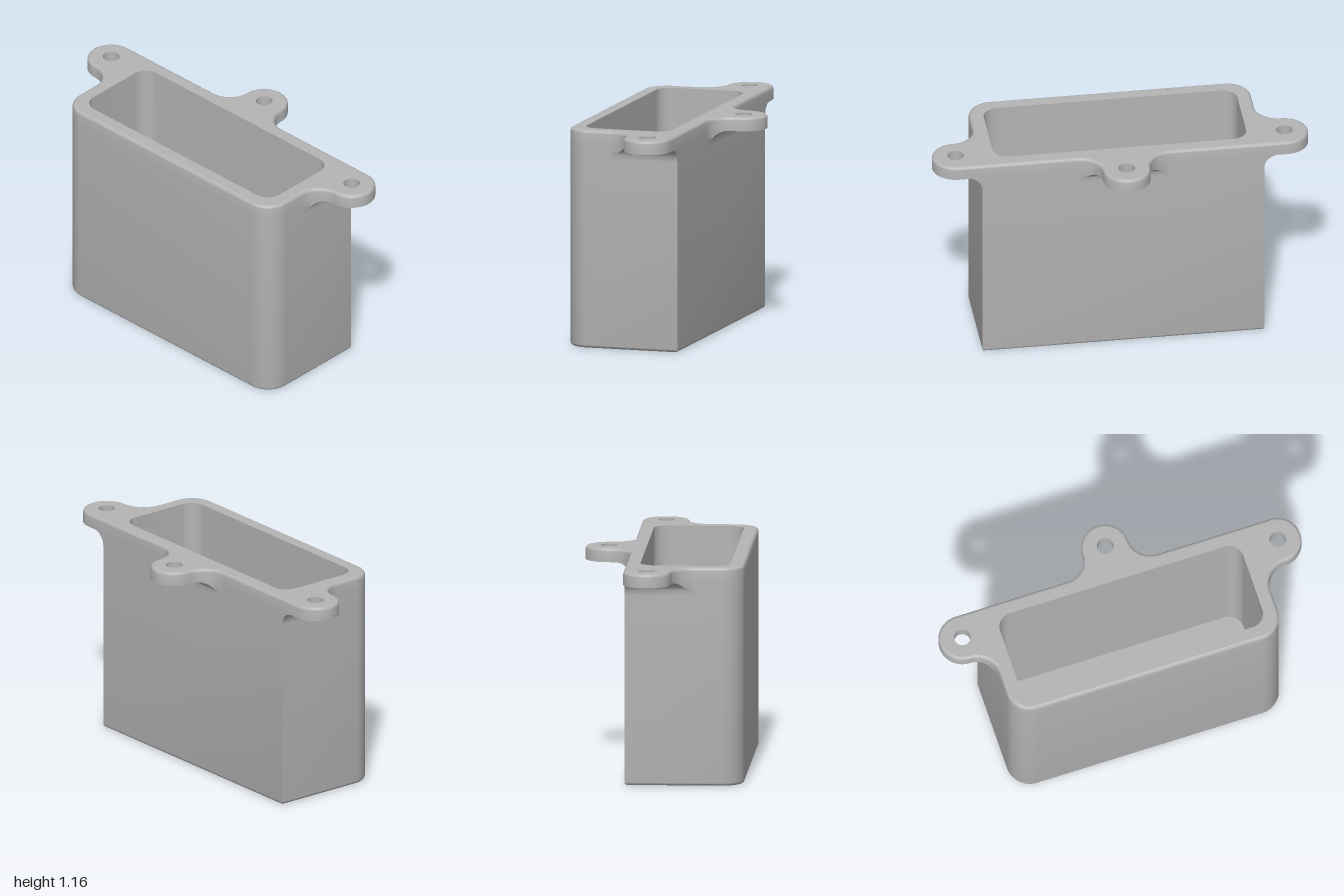
import * as THREE from 'three';
import { toCreasedNormals } from 'three/addons/utils/BufferGeometryUtils.js';

const PI = Math.PI;
const TOP = 1.1625, FLANGE = 1.09, FLOOR = 0.075;   // key heights
const R = 0.125, FILLET = 0.075, EDGE = 0.016;      // tab, gusset and edge radii

// Plan outline as clean points, counter-clockwise from above
function points(shape) {
  const p = shape.getPoints(10).filter((v, i, a) => i === 0 || v.distanceTo(a[i - 1]) > 1e-5);
  if (p[0].distanceTo(p[p.length - 1]) < 1e-5) p.pop();
  return p;
}

function circle(x, z, r) {
  return points(new THREE.Shape().absarc(x, z, r, 0, 2 * PI, false));
}

// Mitred inset of a closed outline
function inset(pts, d) {
  const n = pts.length;
  return pts.map((p, i) => {
    const a = p.clone().sub(pts[(i + n - 1) % n]).normalize();
    const b = pts[(i + 1) % n].clone().sub(p).normalize();
    const k = d / (1 + a.dot(b));
    return new THREE.Vector2(p.x - (a.y + b.y) * k, p.y + (a.x + b.x) * k);
  });
}

function build(pos, idx) {
  const g = new THREE.BufferGeometry();
  g.setAttribute('position', new THREE.Float32BufferAttribute(pos, 3));
  g.setIndex(idx);
  return toCreasedNormals(g, 0.6);
}

// Vertical wall through rings of [inset, height]; inward walls face the hollow
function wall(pts, rings, inward = false) {
  const pos = [], idx = [], n = pts.length;
  for (const [d, y] of rings) for (const p of inset(pts, d)) pos.push(p.x, y, -p.y);
  for (let r = 0; r < rings.length - 1; r++) {
    for (let i = 0; i < n; i++) {
      const a = r * n + i, b = r * n + (i + 1) % n, c = b + n, d = a + n;
      idx.push(...(inward ? [a, c, b, a, d, c] : [a, b, c, a, c, d]));
    }
  }
  return build(pos, idx);
}

// Flat face with holes, facing up or down
function cap(pts, holes, y, up) {
  const s = new THREE.Shape(pts);
  s.holes = holes.map(h => new THREE.Path(h));
  return new THREE.ShapeGeometry(s).rotateX(up ? -PI / 2 : PI / 2).translate(0, y, 0);
}

// Concave fillet under a tab, flaring into the wall on the chosen sides
function gusset(flareLeft, flareRight) {
  const pos = [], idx = [], n = 14;
  for (let i = 0; i <= n; i++) {
    const t = i / n * PI / 2;
    const d = FILLET * (1 - Math.cos(t)), y = FLANGE - FILLET + FILLET * Math.sin(t);
    const flare = 2 * R - Math.sqrt(Math.max(0, R * R - (R - d) ** 2));
    const l = flareLeft ? -flare : -R, r = flareRight ? flare : R;
    pos.push(l, y, d, r, y, d, l, FLANGE, d, r, FLANGE, d);
    if (i === n) break;
    const a = i * 4, b = a + 4;
    idx.push(a, a + 1, b + 1, a, b + 1, b);
    idx.push(a, b, b + 2, a, b + 2, a + 2);
    idx.push(a + 1, a + 3, b + 3, a + 1, b + 3, b + 1);
  }
  return build(pos, idx);
}

export function createModel() {
  const grey = new THREE.MeshStandardMaterial({ color: 0xb4b4b4 });
  grey.name = 'plain grey';
  const model = new THREE.Group();
  model.name = 'mountingBox';
  const add = (name, geometry) => {
    const m = new THREE.Mesh(geometry, grey);
    m.name = name;
    model.add(m);
    return m;
  };

  // Body plan: two rounded corners on one long side
  const body = new THREE.Shape();
  body.moveTo(0.1875, -0.75);
  body.lineTo(0.1875, 0.75);
  body.absarc(-0.3125, 0.625, R, PI / 2, PI, false);
  body.absarc(-0.3125, -0.625, R, PI, 1.5 * PI, false);
  const bodyPts = points(body);

  // Flange plan: body plan plus three round tabs with blended roots
  const flange = new THREE.Shape();
  flange.moveTo(0.1875, -0.25);
  flange.absarc(0.3125, -0.25, R, PI, PI / 2, true);
  flange.absarc(0.3125, 0, R, -PI / 2, PI / 2, false);
  flange.absarc(0.3125, 0.25, R, -PI / 2, -PI, true);
  flange.absarc(0.0625, 0.875, R, 0, PI, false);
  flange.absarc(-0.1875, 0.875, R, 0, -PI / 2, true);
  flange.absarc(-0.3125, 0.625, R, PI / 2, PI, false);
  flange.absarc(-0.3125, -0.625, R, PI, 1.5 * PI, false);
  flange.absarc(-0.1875, -0.875, R, PI / 2, 0, true);
  flange.absarc(0.0625, -0.875, R, PI, 2 * PI, false);
  const flangePts = points(flange);

  // Cavity plan: rounded rectangle
  const c = 0.08, x0 = -0.3625 + c, x1 = 0.1125 - c, z1 = 0.675 - c;
  const cavity = new THREE.Shape();
  cavity.absarc(x1, z1, c, 0, PI / 2, false);
  cavity.absarc(x0, z1, c, PI / 2, PI, false);
  cavity.absarc(x0, -z1, c, PI, 1.5 * PI, false);
  cavity.absarc(x1, -z1, c, 1.5 * PI, 2 * PI, false);
  const cavityPts = points(cavity);

  const hole = 0.044;
  const tabHoles = [[0.0625, 0.875], [0.0625, -0.875], [0.3125, 0]].map(([x, z]) => circle(x, z, hole));
  const floorHoles = [0.5, -0.5].map(z => circle(-0.09, z, hole));

  // Rounded edge as [inset, distance from the end] steps
  const round = [0, 1, 2, 3, 4].map(i => {
    const t = i / 4 * PI / 2;
    return [EDGE * (1 - Math.cos(t)), EDGE * (1 - Math.sin(t))];
  });

  // Box
  add('bodyWall', wall(bodyPts, [...round.slice().reverse(), [0, FLANGE]]));
  add('bodyUnderside', cap(inset(bodyPts, EDGE), floorHoles, 0, false));
  add('cavityWall', wall(cavityPts, [[0, FLOOR], [0, TOP]], true));
  add('cavityFloor', cap(cavityPts, floorHoles, FLOOR, true));
  floorHoles.forEach(h => add('floorHole', wall(h, [[0, 0], [0, FLOOR]], true)));

  // Flange with tabs
  add('flangeEdge', wall(flangePts, [[0, FLANGE], ...round.map(([d, y]) => [d, TOP - y])]));
  add('flangeTop', cap(inset(flangePts, EDGE), [cavityPts, ...tabHoles], TOP, true));
  add('flangeUnderside', cap(flangePts, [cavityPts, ...tabHoles], FLANGE, false));
  tabHoles.forEach(h => add('tabHole', wall(h, [[0, FLANGE], [0, TOP]], true)));

  // Fillets under the tabs
  add('frontGusset', gusset(true, false)).position.set(0.0625, 0, 0.75);
  const back = add('backGusset', gusset(false, true));
  back.position.set(0.0625, 0, -0.75);
  back.rotation.y = PI;
  const side = add('sideGusset', gusset(true, true));
  side.position.set(0.1875, 0, 0);
  side.rotation.y = PI / 2;

  return model;
}
